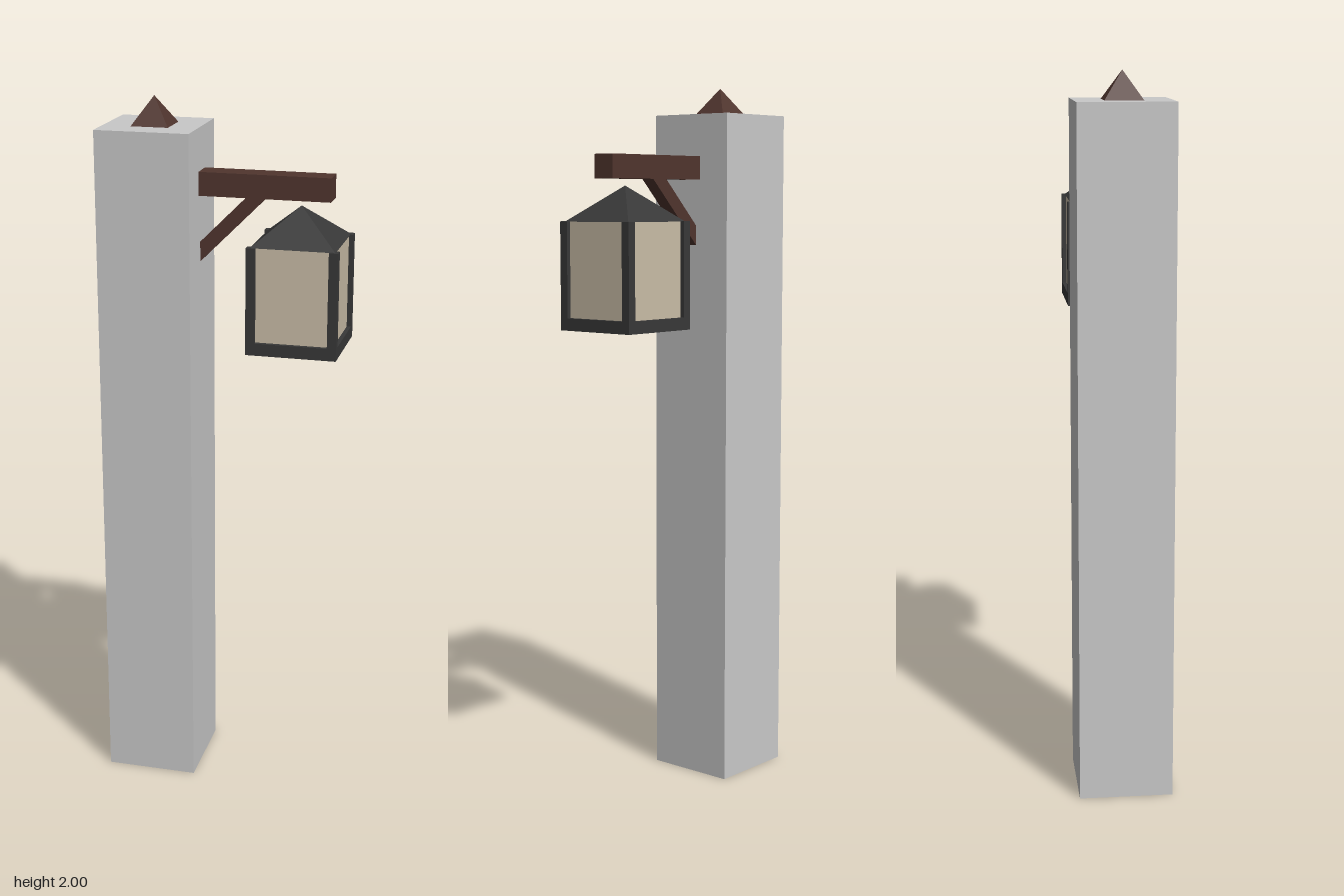
import * as THREE from 'three';

const stone = new THREE.MeshStandardMaterial({ name: 'paleStone', color: 0xc9c9c9 });
const wood = new THREE.MeshStandardMaterial({ name: 'darkWood', color: 0x50352e });
const iron = new THREE.MeshStandardMaterial({ name: 'charcoalIron', color: 0x383838 });
const glass = new THREE.MeshStandardMaterial({ name: 'warmGlass', color: 0xcabda7 });

function add(parent, name, geometry, material, x, y, z = 0) {
  const mesh = new THREE.Mesh(geometry, material);
  mesh.name = name;
  mesh.position.set(x, y, z);
  parent.add(mesh);
  return mesh;
}

// Square pyramid with flat faces, standing on y = 0
function pyramid(width, height) {
  const g = new THREE.ConeGeometry(width * Math.SQRT1_2, height, 4, 1);
  g.rotateY(Math.PI / 4).translate(0, height / 2, 0);
  const flat = g.toNonIndexed();
  flat.computeVertexNormals();
  return flat;
}

export function createModel() {
  const model = new THREE.Group();
  model.name = 'lanternPost';

  // Pillar and its pointed finial
  add(model, 'pillar', new THREE.BoxGeometry(0.262, 1.923, 0.262), stone, -0.202, 0.9615);
  add(model, 'finial', pyramid(0.104, 0.077), wood, -0.202, 1.923);

  // Bracket: horizontal arm with a diagonal brace, its foot buried in the pillar
  add(model, 'arm', new THREE.BoxGeometry(0.413, 0.065, 0.066), wood, 0.0865, 1.773);
  const brace = new THREE.Shape([
    [-0.1, 1.527], [0.125, 1.752], [0.07, 1.752], [-0.1, 1.582],
  ].map(([x, y]) => new THREE.Vector2(x, y)));
  add(model, 'brace', new THREE.ExtrudeGeometry(brace, { depth: 0.04, bevelEnabled: false }),
    wood, 0, 0, -0.02);

  // Hanging lantern
  const lantern = new THREE.Group();
  lantern.name = 'lantern';
  lantern.position.set(0.207, 0, 0);
  model.add(lantern);
  add(lantern, 'lanternBase', new THREE.BoxGeometry(0.25, 0.034, 0.25), iron, 0, 1.347);
  add(lantern, 'lanternGlass', new THREE.BoxGeometry(0.226, 0.261, 0.226), glass, 0, 1.4945);
  for (const sx of [-1, 1]) {
    for (const sz of [-1, 1]) {
      add(lantern, 'cornerBar', new THREE.BoxGeometry(0.025, 0.262, 0.025), iron,
        sx * 0.1125, 1.495, sz * 0.1125);
    }
  }
  add(lantern, 'lanternRoof', pyramid(0.232, 0.097), iron, 0, 1.625);

  return model;
}
